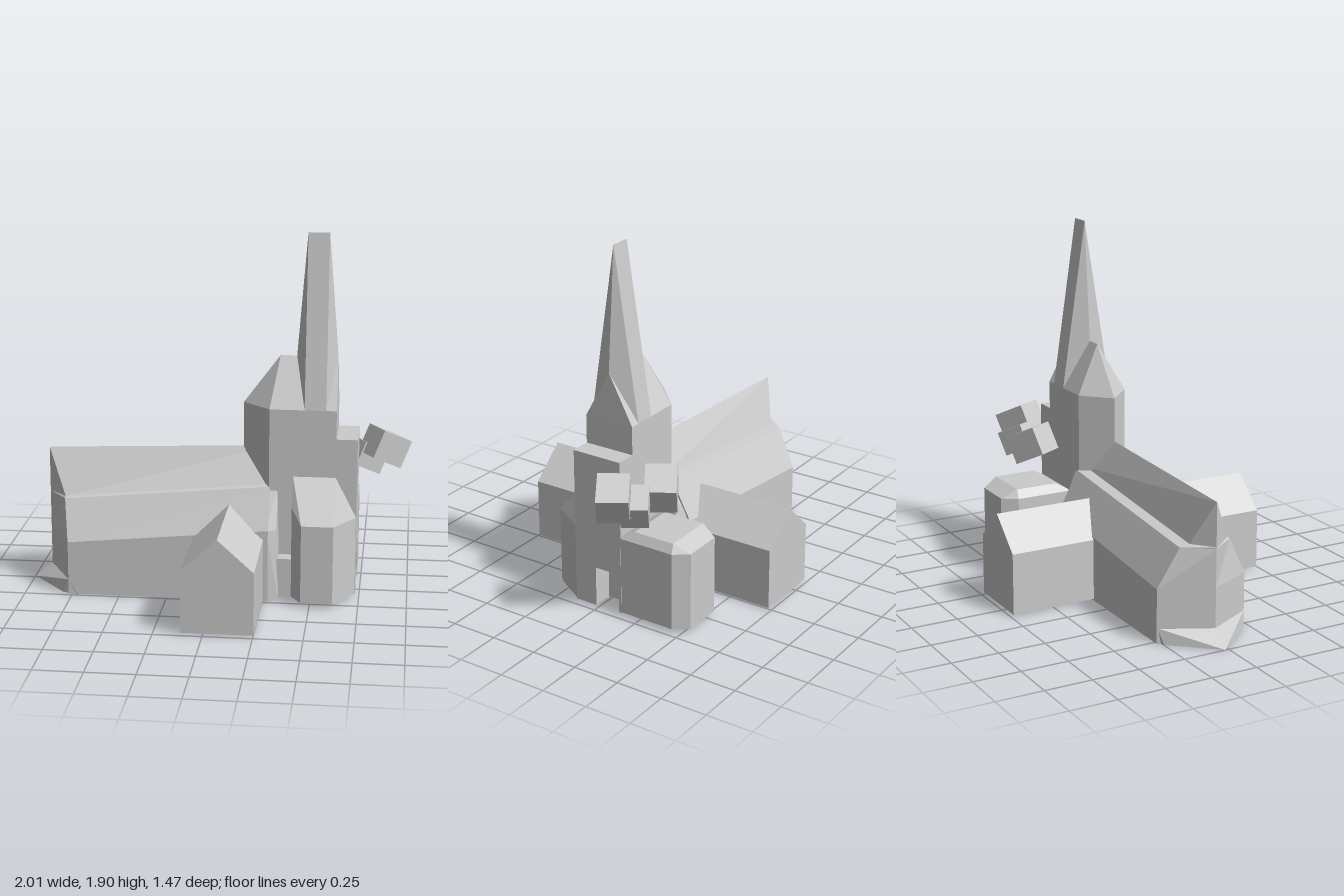
import * as THREE from 'three';
import { ConvexGeometry } from 'three/addons/geometries/ConvexGeometry.js';

const AXIS = -0.018; // z of the building's long axis

const mat = new THREE.MeshStandardMaterial({ color: 0xcccccc, flatShading: true });

function add(group, name, geometry) {
  const mesh = new THREE.Mesh(geometry, mat);
  mesh.name = name;
  group.add(mesh);
  return mesh;
}

// Convex solid through the given corners
const hull = (pts) => new ConvexGeometry(pts.map((p) => new THREE.Vector3(...p)));

// Box between two corners
function slab(x0, x1, y0, y1, z0, z1) {
  const g = new THREE.BoxGeometry(x1 - x0, y1 - y0, z1 - z0);
  return g.translate((x0 + x1) / 2, (y0 + y1) / 2, (z0 + z1) / 2);
}

// Skin over equal-length rings running along +x, closed at the last ring
function loft(rings) {
  const pos = [];
  const n = rings[0].length;
  const tri = (...pts) => pts.forEach((p) => pos.push(...p));
  for (let r = 0; r < rings.length - 1; r++) {
    for (let i = 0; i < n; i++) {
      const j = (i + 1) % n;
      const a = rings[r][i], b = rings[r + 1][i], c = rings[r + 1][j], d = rings[r][j];
      tri(a, b, c);
      tri(a, c, d);
    }
  }
  const end = rings[rings.length - 1];
  const mid = [end[0][0], 0.3, AXIS];
  for (let i = 0; i < n; i++) tri(mid, end[(i + 1) % n], end[i]);
  const g = new THREE.BufferGeometry();
  g.setAttribute('position', new THREE.Float32BufferAttribute(pos, 3));
  g.computeVertexNormals();
  return g;
}

// Nave section: wall, aisle roof, narrow shelf, upper roof, ridge
function naveRing(xs, ys, spread) {
  const front = [0.25, 0.25, 0.14, 0.125, 0];
  const back = [0.255, 0.255, 0.145, 0.09, 0];
  const ring = front.map((z, i) => [xs[i], ys[i], AXIS + z * spread]);
  for (let i = 3; i >= 0; i--) ring.push([xs[i], ys[i], AXIS - back[i] * spread]);
  return ring;
}

export function createModel() {
  const model = new THREE.Group();
  model.name = 'church';

  // Nave with a pointed end
  const prow = -0.905;
  add(model, 'nave', loft([
    naveRing(Array(5).fill(prow), [0, 0.29, 0.49, 0.5, 0.73], 0),
    naveRing([-0.77, -0.77, -0.8, -0.8, prow], [0, 0.285, 0.49, 0.5, 0.73], 1),
    naveRing(Array(5).fill(0.28), [0, 0.385, 0.59, 0.6, 0.775], 1),
  ]));

  // Sloping plinth round the pointed end
  add(model, 'plinth', hull([
    [-1, 0, AXIS], [prow, 0.08, AXIS],
    ...[-1, 1].flatMap((s) => [
      [-0.77, 0.08, AXIS + s * 0.25], [-0.72, 0, AXIS + s * 0.252], [-0.8, 0, AXIS + s * 0.23],
    ]),
  ]));

  // Gabled transept crossing the nave
  const gable = new THREE.Shape([
    [-0.11, 0.01], [0.255, 0.01], [0.255, 0.335], [0.072, 0.5], [-0.11, 0.335],
  ].map((p) => new THREE.Vector2(...p)));
  const transept = new THREE.ExtrudeGeometry(gable, { depth: 1.47, bevelEnabled: false });
  add(model, 'transept', transept.translate(0, 0, -0.735));

  // Tower with a wedge-shaped west side
  const zf = 0.123, zb = -0.155;
  const plan = [[0.13, AXIS], [0.275, zf], [0.62, zf], [0.62, zb], [0.275, zb]];
  add(model, 'tower', hull(plan.flatMap(([x, z]) => [[x, 0.02, z], [x, 1.005, z]])));
  add(model, 'towerRoof', hull([
    ...plan.map(([x, z]) => [x, 1.005, z]), [0.32, 1.26, AXIS], [0.618, 1.26, AXIS],
  ]));

  // Spire ending in a short ridge
  add(model, 'spire', hull([
    ...[0.455, 0.565].flatMap((x) => [[x, 1.005, zf], [x, 1.005, zb], [x, 1.9, AXIS]]),
    [0.405, 1.26, AXIS], [0.618, 1.26, AXIS], [0.405, 1.005, AXIS], [0.618, 1.005, AXIS],
  ]));

  // Porch with a doorway notch, extruded along x
  const porch = new THREE.Shape([
    [-zf, 0.02], [0, 0.02], [0, 0.235], [0.145, 0.235], [0.145, 0.02],
    [-zb, 0.02], [-zb, 0.855], [-zf, 0.855],
  ].map((p) => new THREE.Vector2(...p)));
  const porchGeo = new THREE.ExtrudeGeometry(porch, { depth: 0.115, bevelEnabled: false });
  add(model, 'porch', porchGeo.rotateY(Math.PI / 2).translate(0.615, 0, 0));

  // Front side chapel with lean-to roof
  const chapel = [[0.4, 0.1], [0.4, 0.21], [0.455, 0.302], [0.62, 0.302], [0.728, 0.125], [0.728, 0.1]];
  add(model, 'frontChapel', hull([
    ...chapel.flatMap(([x, z]) => [[x, 0.025, z], [x, 0.44, z]]),
    [0.4, 0.51, 0.21], [0.4, 0.65, zf], [0.62, 0.65, zf],
  ]));

  // Back side chapel with low hipped roof
  const annex = [[0.403, -0.14], [0.403, -0.455], [0.455, -0.535], [0.672, -0.535], [0.728, -0.46], [0.728, -0.14]];
  add(model, 'backChapel', hull([
    ...annex.flatMap(([x, z]) => [[x, 0.025, z], [x, 0.44, z]]),
    ...[-0.22, -0.45].flatMap((z) => [[0.43, 0.485, z], [0.7, 0.485, z]]),
  ]));

  // Buttresses and low link between nave and chapels
  for (const s of [-1, 1]) {
    add(model, 'buttress', hull([
      [0.27, 0.59, AXIS + s * 0.13], [0.32, 0.59, AXIS + s * 0.13],
      [0.27, 0.38, AXIS + s * 0.25], [0.32, 0.38, AXIS + s * 0.21],
      [0.27, 0, AXIS + s * 0.25], [0.335, 0, AXIS + s * 0.22],
      [0.27, 0, AXIS], [0.335, 0, AXIS],
    ]));
  }
  add(model, 'link', slab(0.3, 0.41, 0.015, 0.225, -0.225, 0.2));

  // Three tilted blocks floating beside the tower
  const ex = new THREE.Vector3(0.145, -0.08, -0.09).normalize();
  const ez = new THREE.Vector3(0.08, 0, 0.14).normalize();
  const ey = new THREE.Vector3().crossVectors(ez, ex).normalize();
  ez.crossVectors(ex, ey);
  const basis = new THREE.Matrix4().makeBasis(ex, ey, ez);
  for (const [x, y, z, scale] of [
    [0.565, 0.69, -0.29, 1], [0.765, 0.667, -0.27, 0.87], [0.865, 0.735, -0.215, 1],
  ]) {
    const block = add(model, 'tiltedBlock', new THREE.BoxGeometry(0.185, 0.155, 0.16));
    block.quaternion.setFromRotationMatrix(basis);
    block.position.set(x, y, z);
    block.scale.setScalar(scale);
  }

  return model;
}
